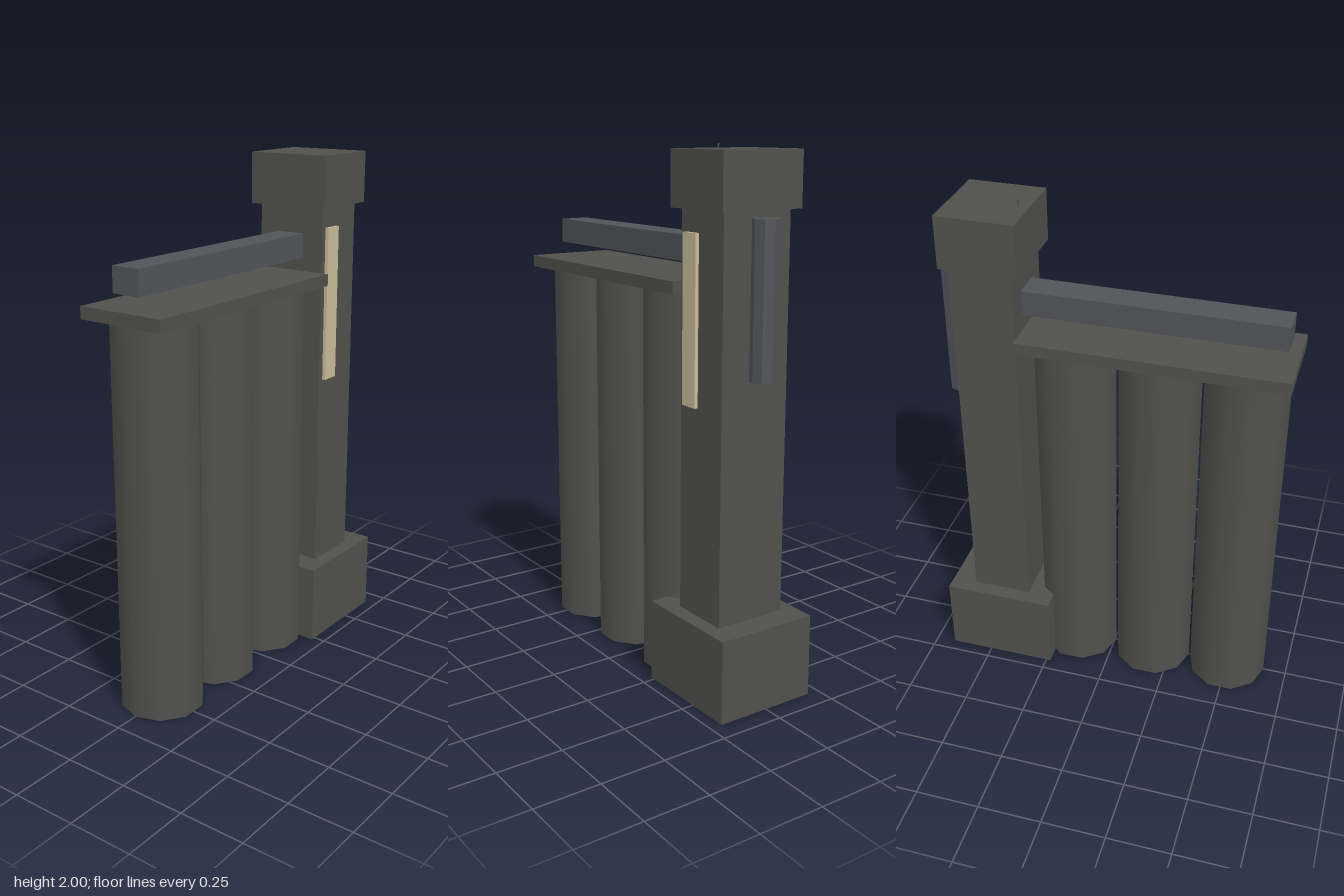
import * as THREE from 'three';

const material = (color, extra = {}) => new THREE.MeshStandardMaterial({ color, ...extra });

export function createModel() {
  const model = new THREE.Group();
  const concrete = material(0x50504c);
  const shell = material(0x50504c, { side: THREE.DoubleSide });
  const metal = material(0x505358);
  const metalFlat = material(0x505358, { flatShading: true });
  const glow = material(0xc8bc9a);

  const add = (name, geometry, mat, x, y, z) => {
    const mesh = new THREE.Mesh(geometry, mat);
    mesh.name = name;
    mesh.position.set(x, y, z);
    model.add(mesh);
    return mesh;
  };
  // Box given by its minimum and maximum along each axis
  const box = (name, mat, [x0, x1], [y0, y1], [z0, z1]) =>
    add(name, new THREE.BoxGeometry(x1 - x0, y1 - y0, z1 - z0), mat,
      (x0 + x1) / 2, (y0 + y1) / 2, (z0 + z1) / 2);

  // Row of three silos, open at the ends
  for (let i = 0; i < 3; i++) {
    const geometry = new THREE.CylinderGeometry(0.159, 0.159, 1.49, 10, 1, true);
    geometry.rotateY(Math.PI / 2);
    add('silo' + (i + 1), geometry, shell, -0.497 + i * 0.325, 0.745, 0);
  }

  // Roof slab and the conveyor gallery above it
  box('roofSlab', concrete, [-0.675, 0.33], [1.487, 1.533], [-0.178, 0.178]);
  box('conveyorGallery', metal, [-0.64, 0.34], [1.585, 1.68], [-0.058, 0.058]);

  // Elevator tower
  box('towerBase', concrete, [0.232, 0.672], [0, 0.315], [-0.202, 0.202]);
  box('towerShaft', concrete, [0.335, 0.572], [0.31, 1.79], [-0.143, 0.143]);
  box('towerHead', concrete, [0.305, 0.6], [1.785, 1.984], [-0.17, 0.17]);
  box('windowStrip', glow, [0.36, 0.435], [1.096, 1.706], [0.14, 0.157]);

  // Side pipe and roof mast
  add('sidePipe', new THREE.CylinderGeometry(0.048, 0.048, 0.555, 8), metalFlat, 0.617, 1.483, 0);
  add('mast', new THREE.CylinderGeometry(0.003, 0.003, 0.05, 6), metal, 0.35, 1.975, 0);

  return model;
}
